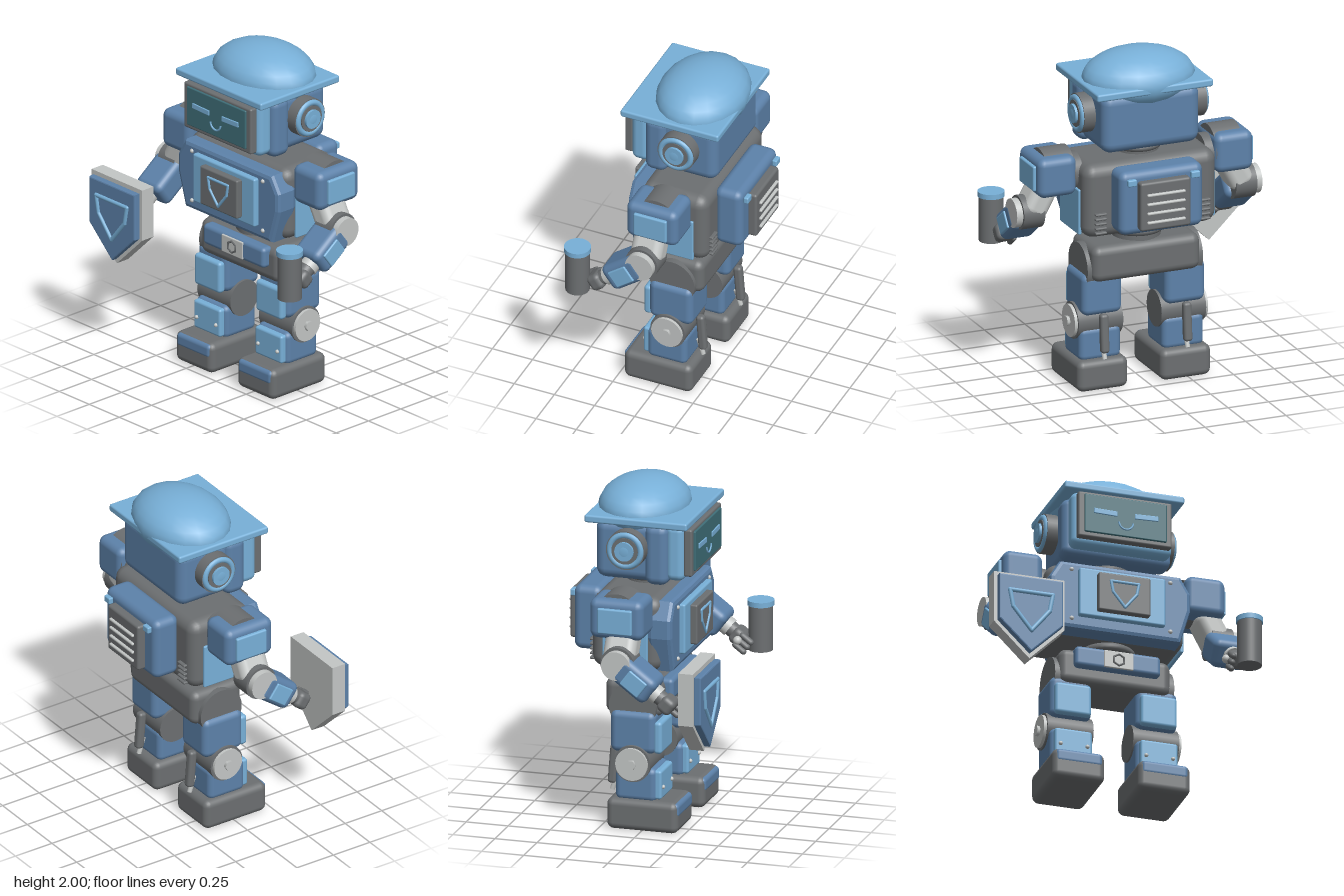
import * as THREE from 'three';
import { RoundedBoxGeometry } from 'three/addons/geometries/RoundedBoxGeometry.js';

const paint = (name, color) => {
  const m = new THREE.MeshStandardMaterial({ color });
  m.name = name;
  return m;
};

export function createModel() {
  const sky = paint('light blue', 0x78b0d8);
  const blue = paint('steel blue', 0x5d82aa);
  const grey = paint('dark grey', 0x6c6f71);
  const pale = paint('pale grey', 0xc3c6c5);
  const teal = paint('screen teal', 0x3f6e78);

  const model = new THREE.Group();
  model.name = 'robot';
  const body = new THREE.Group();
  body.name = 'body';
  body.position.x = 0.025;
  model.add(body);

  const put = (parent, name, geo, mat, x, y, z) => {
    const m = new THREE.Mesh(geo, mat);
    m.name = name;
    m.position.set(x, y, z);
    parent.add(m);
    return m;
  };
  // rounded box from centre and size
  const box = (parent, name, mat, x, y, z, w, h, d, r = 0.03) =>
    put(parent, name, new RoundedBoxGeometry(w, h, d, 3, Math.min(r, w / 2.1, h / 2.1, d / 2.1)), mat, x, y, z);
  // cylinder along a chosen axis
  const cyl = (parent, name, mat, axis, x, y, z, r, len, r2 = r, sides = 32) => {
    const g = new THREE.CylinderGeometry(r, r2, len, sides);
    if (axis === 'x') g.rotateZ(Math.PI / 2);
    if (axis === 'z') g.rotateX(Math.PI / 2);
    return put(parent, name, g, mat, x, y, z);
  };
  const ring = (parent, name, mat, axis, x, y, z, r, t) => {
    const g = new THREE.TorusGeometry(r, t, 10, 32);
    if (axis === 'x') g.rotateY(Math.PI / 2);
    if (axis === 'y') g.rotateX(Math.PI / 2);
    return put(parent, name, g, mat, x, y, z);
  };
  const ball = (parent, name, mat, x, y, z, r) => put(parent, name, new THREE.SphereGeometry(r, 20, 14), mat, x, y, z);
  // flat plate cut from a polygon
  const plate = (parent, name, mat, pts, z, depth, bevel = 0) => {
    const shape = new THREE.Shape(pts.map(p => new THREE.Vector2(...p)));
    const g = new THREE.ExtrudeGeometry(shape, {
      depth: depth - 2 * bevel, bevelEnabled: bevel > 0, bevelThickness: bevel,
      bevelSize: bevel, bevelOffset: -bevel, bevelSegments: 2,
    });
    return put(parent, name, g, mat, 0, 0, z + bevel);
  };
  // five rods forming a crest outline
  const crest = (parent, name, x, y, z, s, t) => {
    const pts = [[-1, 0.85], [1, 0.85], [0.85, 0.05], [0, -1], [-0.85, 0.05]]
      .map(([a, b]) => new THREE.Vector3(x + a * s, y + b * s, z));
    pts.forEach((p, i) => {
      const q = pts[(i + 1) % 5];
      const m = put(parent, name, new THREE.CapsuleGeometry(t, p.distanceTo(q), 4, 10), sky, 0, 0, 0);
      m.position.lerpVectors(p, q, 0.5);
      m.quaternion.setFromUnitVectors(new THREE.Vector3(0, 1, 0), q.clone().sub(p).normalize());
    });
  };

  // head and face
  box(body, 'headShell', blue, 0, 1.625, -0.09, 0.6, 0.35, 0.44, 0.06);
  box(body, 'headRearLower', blue, 0, 1.62, 0.06, 0.65, 0.36, 0.14, 0.05);
  box(body, 'faceFrame', sky, 0, 1.635, 0.165, 0.6, 0.33, 0.11, 0.04);
  box(body, 'screenBezel', grey, 0, 1.64, 0.24, 0.56, 0.28, 0.05, 0.012);
  box(body, 'screen', teal, 0, 1.645, 0.266, 0.49, 0.235, 0.02, 0.006);
  for (const s of [-1, 1]) {
    const eye = box(body, 'eye', sky, s * 0.122, 1.66, 0.279, 0.14, 0.032, 0.009, 0.004);
    eye.rotation.z = s * 0.03;
  }
  const smile = put(body, 'smile', new THREE.TorusGeometry(0.042, 0.006, 8, 20, Math.PI), sky, 0, 1.612, 0.278);
  smile.rotation.z = Math.PI;

  // cap
  box(body, 'capBrim', sky, 0, 1.815, -0.047, 0.715, 0.045, 0.61, 0.012);
  ball(body, 'capDome', sky, 0, 1.83, -0.1, 1).scale.set(0.335, 0.17, 0.26);

  // neck
  cyl(body, 'neck', grey, 'y', 0, 1.42, -0.08, 0.125, 0.14);
  ring(body, 'neckRing', grey, 'y', 0, 1.425, -0.08, 0.12, 0.022);

  // torso
  box(body, 'torso', grey, 0, 1.17, -0.09, 0.82, 0.44, 0.42, 0.07);
  plate(body, 'chestShell', blue, [[-0.36, 1.37], [-0.42, 1.27], [-0.42, 1.16], [-0.36, 0.955],
    [0.36, 0.955], [0.42, 1.16], [0.42, 1.27], [0.36, 1.37]], 0.04, 0.145, 0.025);
  box(body, 'chestPanel', sky, 0, 1.178, 0.19, 0.515, 0.296, 0.055, 0.012);
  box(body, 'chestPlate', grey, 0, 1.178, 0.235, 0.31, 0.235, 0.045, 0.01);
  crest(body, 'chestCrest', 0, 1.175, 0.258, 0.083, 0.009);
  for (const s of [-1, 1]) {
    for (const y of [1.015, 1.32]) ball(body, 'chestRivet', pale, s * 0.295, y, 0.185, 0.013);
    box(body, 'sidePanel', sky, s * 0.412, 1.1, -0.09, 0.02, 0.27, 0.27, 0.008);
    for (let i = 0; i < 5; i++) box(body, 'rearRib', grey, s * 0.32, 0.99 + i * 0.028, -0.305, 0.07, 0.014, 0.03, 0.006);
  }

  // backpack
  box(body, 'backpack', blue, 0, 1.19, -0.365, 0.515, 0.38, 0.17, 0.045);
  box(body, 'ventPlate', grey, 0, 1.18, -0.47, 0.31, 0.29, 0.06, 0.015);
  for (let i = 0; i < 4; i++) box(body, 'ventBar', pale, 0, 1.085 + i * 0.055, -0.504, 0.235, 0.016, 0.022, 0.007);
  for (const s of [-1, 1]) box(body, 'packTab', sky, s * 0.195, 1.325, -0.463, 0.055, 0.04, 0.03, 0.008);

  // waist and pelvis
  cyl(body, 'waist', grey, 'y', 0, 0.91, -0.07, 0.14, 0.14);
  ring(body, 'waistRing', grey, 'y', 0, 0.925, -0.07, 0.14, 0.025);
  box(body, 'pelvis', grey, 0, 0.765, -0.07, 0.665, 0.215, 0.34, 0.05);
  box(body, 'beltPlate', blue, 0, 0.81, 0.105, 0.51, 0.125, 0.08, 0.025);
  box(body, 'buckle', pale, 0, 0.81, 0.145, 0.175, 0.105, 0.014, 0.005);
  const nut = put(body, 'buckleNut', new THREE.TorusGeometry(0.035, 0.007, 6, 6), grey, 0, 0.81, 0.152);
  nut.rotation.z = Math.PI / 6;

  for (const s of [-1, 1]) {
    // ear pods
    cyl(body, 'earPad', grey, 'x', s * 0.345, 1.655, -0.1, 0.115, 0.07);
    ring(body, 'earRing', sky, 'x', s * 0.378, 1.655, -0.1, 0.092, 0.018);
    cyl(body, 'earDisc', grey, 'x', s * 0.38, 1.655, -0.1, 0.078, 0.03);
    cyl(body, 'earBoss', sky, 'x', s * 0.39, 1.655, -0.1, 0.056, 0.04);
    ball(body, 'earCap', sky, s * 0.403, 1.655, -0.1, 0.045).scale.x = 0.2;

    // legs
    const leg = new THREE.Group();
    leg.name = s > 0 ? 'leftLeg' : 'rightLeg';
    leg.position.x = s * 0.256;
    body.add(leg);
    cyl(leg, 'hipJoint', grey, 'x', 0, 0.72, -0.065, 0.14, 0.2);
    box(leg, 'thigh', blue, 0, 0.575, -0.06, 0.245, 0.25, 0.27, 0.04);
    box(leg, 'thighPlate', sky, 0, 0.55, 0.085, 0.215, 0.19, 0.05, 0.02);
    cyl(leg, 'knee', grey, 'x', 0, 0.395, -0.055, 0.108, 0.275);
    cyl(leg, 'kneeDisc', pale, 'x', s * 0.14, 0.395, -0.055, 0.095, 0.03);
    cyl(leg, 'kneeBolt', pale, 'x', s * 0.16, 0.395, -0.055, 0.03, 0.025, 0.03, 6);
    box(leg, 'shin', blue, 0, 0.27, -0.04, 0.255, 0.2, 0.245, 0.035);
    box(leg, 'shinPlate', sky, 0, 0.272, 0.085, 0.222, 0.17, 0.05, 0.015);
    for (const t of [-1, 1]) ball(leg, 'shinRivet', pale, t * 0.08, 0.258, 0.112, 0.012);
    box(leg, 'calfPiston', grey, 0, 0.345, -0.207, 0.05, 0.23, 0.05, 0.018).rotation.x = 0.08;
    cyl(leg, 'calfRod', pale, 'y', 0, 0.24, -0.2, 0.014, 0.1).rotation.x = 0.3;
    box(leg, 'foot', grey, 0, 0.092, 0.005, 0.31, 0.184, 0.424, 0.04);
    box(leg, 'toeCap', blue, 0, 0.135, 0.165, 0.28, 0.085, 0.11, 0.025);

    // shoulder and upper arm
    const arm = new THREE.Group();
    arm.name = s > 0 ? 'leftArm' : 'rightArm';
    body.add(arm);
    cyl(arm, 'shoulderDisc', grey, 'x', s * 0.42, 1.31, -0.09, 0.11, 0.08);
    cyl(arm, 'shoulderJoint', grey, 'x', s * 0.52, 1.33, -0.08, 0.136, 0.17);
    box(arm, 'shoulderPad', blue, s * 0.545, 1.325, -0.07, 0.235, 0.235, 0.32, 0.045);
    box(arm, 'shoulderPlate', sky, s * 0.665, 1.32, -0.072, 0.03, 0.15, 0.205, 0.01);
    box(arm, 'upperArm', pale, s * 0.605, 1.165, -0.045, 0.15, 0.22, 0.19, 0.05).rotation.z = s * 0.5;
    cyl(arm, 'elbow', grey, 'x', s * 0.655, 1.085, -0.04, 0.1, 0.13);
    cyl(arm, 'elbowDisc', pale, 'x', s * 0.735, 1.085, -0.04, 0.085, 0.045);

    // forearm points forward and down, ending in a gripping hand
    const fore = new THREE.Group();
    fore.name = 'forearm';
    fore.position.set(s * 0.66, 1.08, -0.04);
    fore.rotation.x = 0.64;
    arm.add(fore);
    box(fore, 'forearmShell', blue, 0, 0, 0.13, 0.2, 0.165, 0.25, 0.04);
    box(fore, 'forearmPlate', sky, s * 0.1, -0.005, 0.14, 0.02, 0.105, 0.13, 0.008);
    cyl(fore, 'wristRing', pale, 'z', s * 0.015, 0, 0.27, 0.055, 0.04);
    cyl(fore, 'wrist', grey, 'z', s * 0.015, 0, 0.305, 0.045, 0.06);
    box(fore, 'palm', grey, s * 0.015, 0, 0.36, 0.12, 0.1, 0.09, 0.03);
    for (let i = 0; i < 3; i++) {
      const finger = put(fore, 'finger', new THREE.CapsuleGeometry(0.018, 0.06, 4, 10), grey, s * -0.035, 0.035 - i * 0.037, 0.405);
      finger.rotation.x = Math.PI / 2;
    }
    ball(fore, 'thumbJoint', pale, s * -0.055, 0, 0.37, 0.025);
  }

  // canister held in the left hand
  const can = new THREE.Group();
  can.name = 'canister';
  can.position.set(0.734, 0, 0.363);
  model.add(can);
  cyl(can, 'canisterBody', grey, 'y', 0, 0.92, 0, 0.07, 0.27);
  cyl(can, 'canisterLid', sky, 'y', 0, 1.067, 0, 0.077, 0.03);

  // shield on the right hand
  const shield = new THREE.Group();
  shield.name = 'shield';
  shield.position.set(-0.612, 0, 0);
  model.add(shield);
  const outline = (w, top, side, tip) => [[-w, top], [-w, side], [0, tip], [w, side], [w, top]];
  plate(shield, 'shieldBack', pale, outline(0.211, 1.11, 0.8, 0.594), 0.363, 0.087);
  plate(shield, 'shieldFace', blue, outline(0.19, 1.085, 0.805, 0.622), 0.445, 0.045, 0.008);
  crest(shield, 'shieldCrest', 0, 0.88, 0.49, 0.128, 0.013);

  return model;
}
